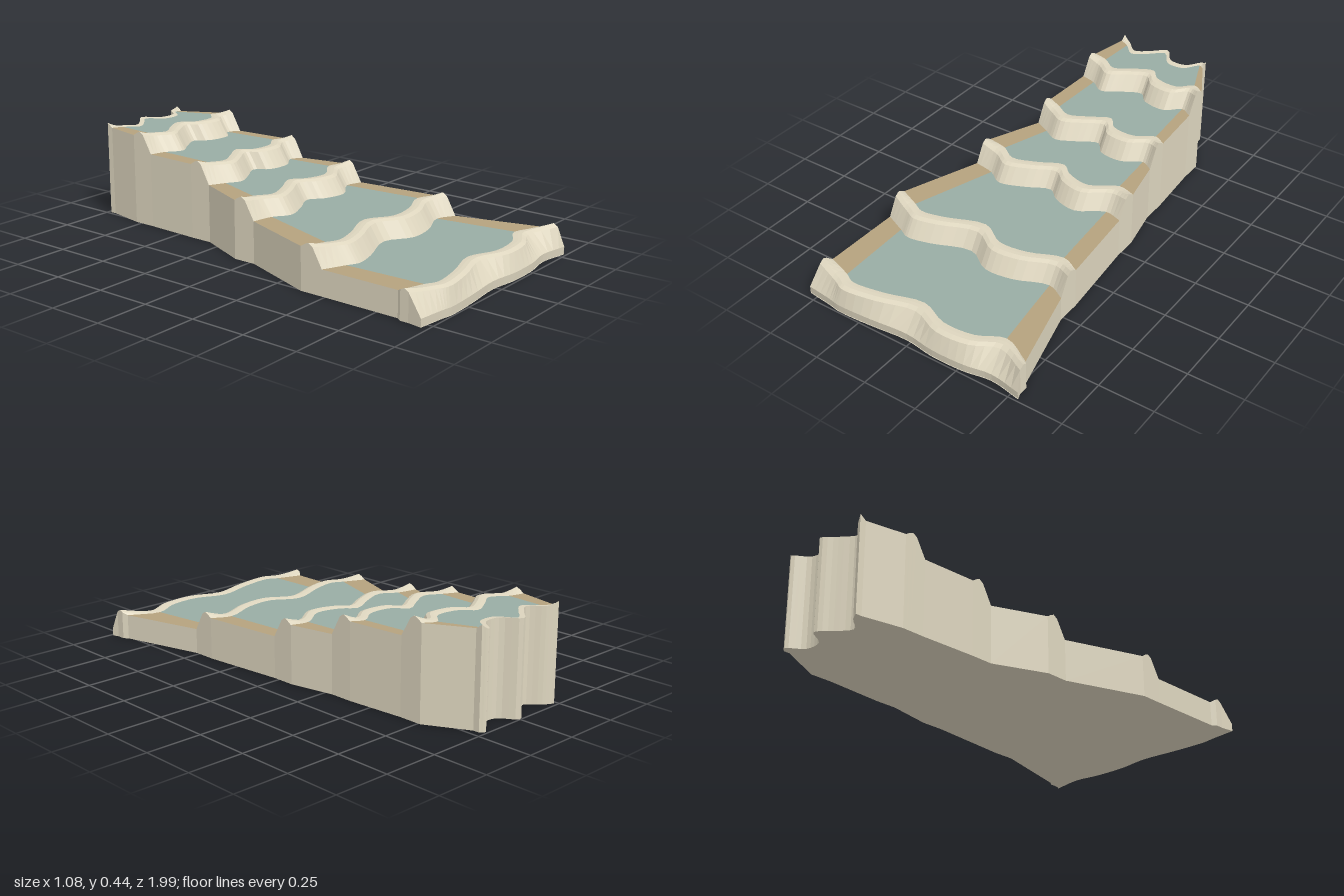
import * as THREE from 'three';

const COLS = 32, BANK = 4; // columns across a terrace, columns taken by each bank
const LEVELS = [0.113, 0.188, 0.262, 0.34, 0.414];

// Rim line [x, z] of each dam, front to back; the last is the back edge
const RIMS = [
  [[-.53, .90], [-.41, .94], [-.355, .965], [-.2, .945], [-.02, .90], [.12, .95], [.27, .94], [.39, .885], [.53, .95]],
  [[-.51, .43], [-.41, .475], [-.355, .50], [-.25, .48], [-.07, .42], [.05, .485], [.18, .475], [.33, .42], [.415, .46]],
  [[-.38, -.03], [-.285, -.01], [-.21, .035], [-.1, 0], [.01, -.05], [.07, -.005], [.18, .02], [.3, -.05], [.38, -.03]],
  [[-.28, -.37], [-.21, -.335], [-.14, -.30], [-.05, -.34], [.04, -.385], [.09, -.33], [.2, -.32], [.285, -.37], [.34, -.34]],
  [[-.27, -.73], [-.2, -.71], [-.13, -.665], [-.05, -.71], [.04, -.75], [.09, -.70], [.2, -.685], [.265, -.74], [.32, -.71]],
  [[-.235, -.985], [-.19, -.96], [-.13, -.905], [-.06, -.95], [0, -.998], [.06, -.925], [.14, -.925], [.195, -.99], [.22, -.975]],
];

// Flat-shaded strip of quads between successive rows of points
function strip(rows) {
  const pos = [];
  for (let r = 0; r < rows.length - 1; r++) {
    for (let c = 0; c < rows[r].length - 1; c++) {
      const a = rows[r][c], b = rows[r][c + 1], d = rows[r + 1][c + 1], e = rows[r + 1][c];
      for (const p of [a, b, d, a, d, e]) pos.push(p.x, p.y, p.z);
    }
  }
  const g = new THREE.BufferGeometry();
  g.setAttribute('position', new THREE.Float32BufferAttribute(pos, 3));
  g.computeVertexNormals();
  return g;
}

export function createModel() {
  const model = new THREE.Group();
  model.name = 'terracedPools';
  const material = (name, color) => {
    const m = new THREE.MeshStandardMaterial({ color });
    m.name = name;
    return m;
  };
  const stone = material('pale limestone', 0xded6bf);
  const earth = material('tan bank', 0xb5a27e);
  const water = material('pool water', 0x98aca4);
  const add = (name, rows, mat) => {
    const mesh = new THREE.Mesh(strip(rows), mat);
    mesh.name = name;
    model.add(mesh);
  };

  // Cross-rows of every dam, from its foot over the crest to the pool behind
  const dams = RIMS.map((rim, i) => {
    const curve = new THREE.CatmullRomCurve3(rim.map(([x, z]) => new THREE.Vector3(x, 0, z)));
    const first = i === 0, last = i === RIMS.length - 1;
    const low = first ? 0 : LEVELS[i - 1];
    const top = last ? low : LEVELS[i];
    const row = fn => Array.from({ length: COLS + 1 }, (_, c) => {
      const u = c / COLS, p = curve.getPoint(u);
      const end = Math.max(0, (Math.abs(2 * u - 1) - 0.78) / 0.22) ** 1.4 * 0.017; // raised ends
      return fn(p.x, p.z, end);
    });
    const v = (x, y, z) => new THREE.Vector3(x, y, z);
    if (last) return [
      row((x, z) => v(x, low, z + 0.028)),
      row((x, z, e) => v(x, top + 0.003 + e, z)),
    ];
    const foot = z => first ? 0.977 + 0.35 * (z - 0.925) : z + 0.055;
    const rows = [row((x, z) => v(first ? x * 1.018 : x, low, foot(z)))];
    if (first) rows.push(row((x, z) => v(x * 1.018, 0.035, foot(z) + 0.003)));
    rows.push(
      row((x, z, e) => v(x, top - 0.004 + e * 0.7, z + 0.008)),
      row((x, z, e) => v(x, top + 0.004 + e, z - 0.012)),
      row((x, z, e) => v(x, top + 0.003 + e * 0.6, z - 0.03)),
      row((x, z) => v(first ? x * 0.97 : x, top, z - 0.05)),
    );
    return rows;
  });

  dams.forEach((rows, i) => {
    add(i < 5 ? 'dam' + (i + 1) : 'backLip', rows, stone);
    if (i === 5) return;
    // Pool surface and its two banks, reaching to the next dam's foot
    const span = [rows[rows.length - 1], dams[i + 1][0]];
    const part = (a, b) => span.map(r => r.slice(a, b + 1));
    add('rightBank' + (i + 1), part(0, BANK), earth);
    add('pool' + (i + 1), part(BANK, COLS - BANK), water);
    add('leftBank' + (i + 1), part(COLS - BANK, COLS), earth);
  });

  // Walls dropping from the outline to the ground, and the underside
  const all = dams.flat();
  const ground = row => row.map(p => new THREE.Vector3(p.x, 0, p.z));
  const wall = (name, edge) => add(name, [ground(edge), edge], stone);
  wall('leftWall', all.map(r => r[COLS]));
  wall('rightWall', all.map(r => r[0]).reverse());
  wall('backWall', [...all[all.length - 1]].reverse());
  add('underside', all.map(ground).reverse(), stone);

  return model;
}
